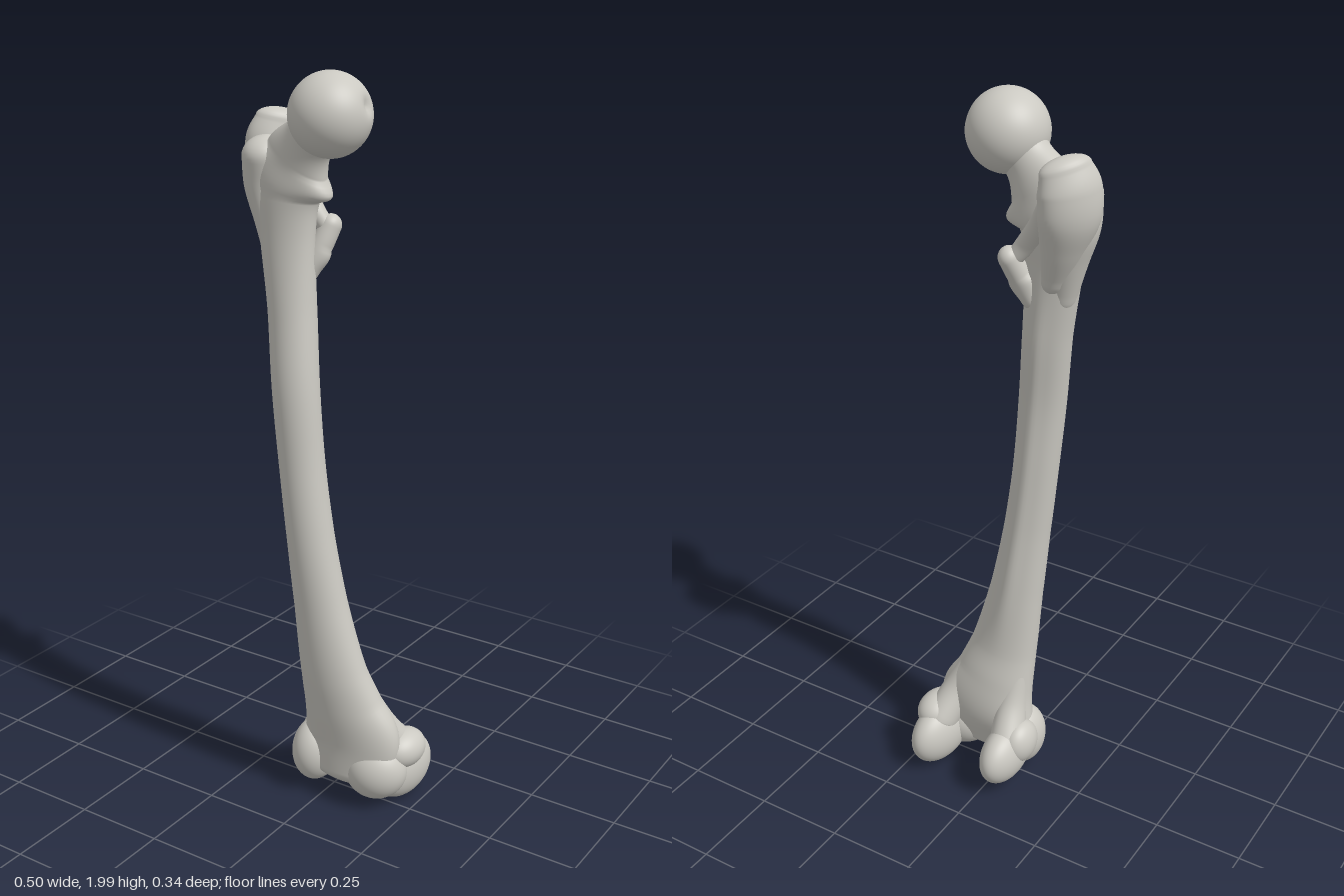
import * as THREE from 'three';
import { mergeVertices } from 'three/addons/utils/BufferGeometryUtils.js';

const V = (x, y, z) => new THREE.Vector3(x, y, z);

// Lofts ellipses along a curve. Each section is [x, y, z, radiusU, radiusV];
// radiusV lies along ref. Both ends close with domes of the given heights.
function loft(sections, { ref = V(0, 0, 1), domes = [0.03, 0.03], steps = 8, sides = 48, bump } = {}) {
  const path = new THREE.CatmullRomCurve3(sections.map((s) => V(s[0], s[1], s[2])));
  const radii = new THREE.CatmullRomCurve3(sections.map((s) => V(s[3], s[4], 0)));
  const n = (sections.length - 1) * steps;
  const rings = [];
  const addRing = (f, size, push) => rings.push({ f, size, push });
  const domeSteps = 8;
  for (let k = 0; k < domeSteps; k++) {
    const a = (1 - k / domeSteps) * Math.PI / 2;
    addRing(0, Math.max(Math.cos(a), 0.001), -domes[0] * Math.sin(a));
  }
  for (let i = 0; i <= n; i++) addRing(i / n, 1, 0);
  for (let k = 1; k <= domeSteps; k++) {
    const a = (k / domeSteps) * Math.PI / 2;
    addRing(1, Math.max(Math.cos(a), 0.001), domes[1] * Math.sin(a));
  }
  const pos = [], index = [];
  rings.forEach(({ f, size, push }, i) => {
    const t = path.getTangent(f);
    const u = t.clone().cross(ref).normalize();
    const v = u.clone().cross(t);
    const c = path.getPoint(f).addScaledVector(t, push);
    const r = radii.getPoint(f);
    for (let j = 0; j < sides; j++) {
      const a = (j / sides) * Math.PI * 2;
      const k = size * (bump ? bump(a, c.y) : 1);
      const p = c.clone().addScaledVector(u, r.x * k * Math.cos(a)).addScaledVector(v, r.y * k * Math.sin(a));
      pos.push(p.x, p.y, p.z);
      if (i < rings.length - 1) {
        const j2 = (j + 1) % sides, p0 = i * sides, p1 = p0 + sides;
        index.push(p0 + j, p1 + j, p0 + j2, p0 + j2, p1 + j, p1 + j2);
      }
    }
  });
  const g = new THREE.BufferGeometry();
  g.setAttribute('position', new THREE.Float32BufferAttribute(pos, 3));
  g.setIndex(index);
  g.computeVertexNormals();
  return g;
}

// Smooth ellipsoid; an optional rule moves the unit-sphere points first.
function blob([x, y, z], [rx, ry, rz], { yaw = 0, pitch = 0, rule } = {}) {
  let g = new THREE.SphereGeometry(1, 56, 40);
  g.deleteAttribute('uv');
  g.deleteAttribute('normal');
  g = mergeVertices(g, 1e-5);
  if (rule) {
    const p = g.attributes.position, q = V();
    for (let i = 0; i < p.count; i++) {
      rule(q.fromBufferAttribute(p, i));
      p.setXYZ(i, q.x, q.y, q.z);
    }
  }
  g.scale(rx, ry, rz).rotateX(pitch).rotateY(yaw).translate(x, y, z);
  g.computeVertexNormals();
  return g;
}

export function createModel() {
  const group = new THREE.Group();
  const bone = new THREE.MeshStandardMaterial({ color: 0xcbc9c2 });
  bone.name = 'bone grey';
  const add = (name, geometry) => {
    const m = new THREE.Mesh(geometry, bone);
    m.name = name;
    group.add(m);
  };

  // Shaft: flared at the knee, bowed forward, bending into the neck on top,
  // with a low ridge running down its back
  const backRidge = (a, y) => {
    const d = (a - Math.PI * 1.5) / 0.3;
    const along = THREE.MathUtils.smoothstep(y, 0.35, 0.7) * (1 - THREE.MathUtils.smoothstep(y, 1.35, 1.6));
    return 1 + 0.13 * along * Math.exp(-d * d);
  };
  add('shaftAndNeck', loft([
    [0.07, 0.10, 0.03, 0.125, 0.06],
    [0.07, 0.20, 0.018, 0.148, 0.075],
    [0.05, 0.30, 0.032, 0.118, 0.076],
    [0.031, 0.40, 0.05, 0.098, 0.07],
    [0, 0.60, 0.066, 0.076, 0.064],
    [-0.025, 0.80, 0.078, 0.065, 0.061],
    [-0.048, 1.00, 0.081, 0.062, 0.059],
    [-0.066, 1.20, 0.08, 0.064, 0.059],
    [-0.088, 1.40, 0.061, 0.066, 0.058],
    [-0.108, 1.58, 0.05, 0.077, 0.053],
    [-0.112, 1.69, 0.045, 0.094, 0.056],
    [-0.08, 1.775, 0.046, 0.094, 0.056],
    [-0.03, 1.838, 0.056, 0.066, 0.056],
    [0.02, 1.885, 0.064, 0.07, 0.066],
  ], { domes: [0.04, 0.01], bump: backRidge }));

  // Ball head with a small pit on its inner side
  const pit = V(0.96, 0.25, -0.2).normalize();
  add('head', blob([0.032, 1.896, 0.066], [0.104, 0.104, 0.104], {
    rule: (p) => {
      const d = p.angleTo(pit) / 0.2;
      p.multiplyScalar(1 - 0.13 * Math.exp(-d * d));
    },
  }));

  // Greater trochanter: a front mass and a taller slanted crest behind it
  add('greaterTrochanter', loft([
    [-0.14, 1.52, 0.045, 0.035, 0.035],
    [-0.158, 1.62, 0.04, 0.048, 0.05],
    [-0.178, 1.71, 0.04, 0.056, 0.06],
    [-0.175, 1.78, 0.045, 0.058, 0.066],
  ], { domes: [0.05, 0.05] }));
  add('trochanterCrest', loft([
    [-0.135, 1.57, 0.02, 0.03, 0.04],
    [-0.16, 1.66, 0.005, 0.045, 0.06],
    [-0.182, 1.75, -0.008, 0.053, 0.08],
    [-0.182, 1.81, -0.012, 0.05, 0.08],
    [-0.173, 1.86, -0.018, 0.036, 0.066],
  ], { ref: V(-0.63, 0, 0.77), domes: [0.05, 0.03] }));

  // Lesser trochanter and the ridge joining it to the greater one
  add('lesserTrochanter', loft([
    [-0.06, 1.50, 0.03, 0.03, 0.03],
    [-0.035, 1.56, 0.008, 0.03, 0.03],
    [-0.02, 1.61, -0.013, 0.028, 0.03],
  ], { domes: [0.04, 0.03] }));
  add('trochantericRidge', loft([
    [-0.15, 1.78, -0.04, 0.03, 0.03],
    [-0.105, 1.71, -0.012, 0.028, 0.028],
    [-0.06, 1.65, 0.002, 0.026, 0.026],
    [-0.03, 1.61, -0.004, 0.022, 0.022],
  ]));

  // Knee end: rear condyles, front lips of the groove, and side bumps
  add('innerCondyle', blob([0.184, 0.1, -0.06], [0.06, 0.092, 0.112], { yaw: -0.12, pitch: -0.08 }));
  add('outerCondyle', blob([-0.038, 0.112, -0.06], [0.058, 0.083, 0.106], { pitch: -0.08 }));
  add('innerGrooveLip', blob([0.15, 0.115, 0.02], [0.088, 0.086, 0.074], { yaw: 0.35 }));
  add('outerGrooveLip', blob([-0.042, 0.122, 0.03], [0.064, 0.092, 0.076]));
  add('innerEpicondyle', blob([0.196, 0.165, -0.045], [0.058, 0.055, 0.075], { yaw: -0.1 }));
  add('outerEpicondyle', blob([-0.068, 0.145, -0.03], [0.046, 0.065, 0.065]));

  // Flared corners carrying the shaft into the condyles
  add('innerFlare', loft([
    [0.18, 0.15, -0.055, 0.05, 0.06],
    [0.15, 0.24, -0.005, 0.045, 0.045],
    [0.105, 0.36, 0.035, 0.035, 0.035],
  ]));
  add('outerFlare', loft([
    [-0.04, 0.15, -0.05, 0.05, 0.055],
    [-0.024, 0.24, 0, 0.042, 0.045],
    [-0.024, 0.36, 0.035, 0.035, 0.035],
  ]));
  return group;
}
